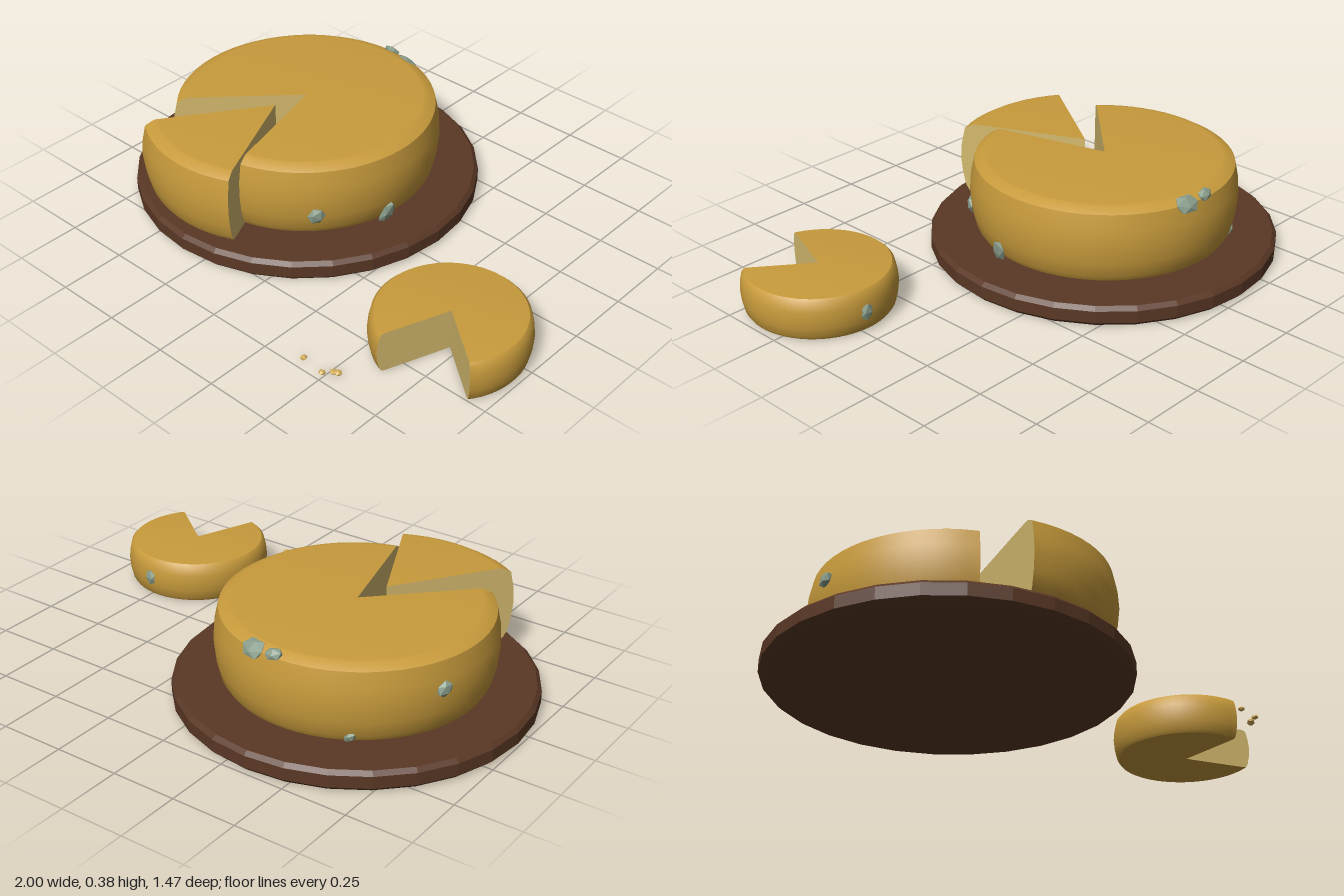
import * as THREE from 'three';
import { toCreasedNormals } from 'three/addons/utils/BufferGeometryUtils.js';

const mat = (name, color, extra = {}) => {
  const m = new THREE.MeshStandardMaterial({ color, ...extra });
  m.name = name;
  return m;
};
const rad = THREE.MathUtils.degToRad;

export function createModel() {
  const root = new THREE.Group();
  root.name = 'cheeseBoard';
  const rind = mat('rind', 0xc89b3c);
  const paste = mat('paste', 0xd4ba6e, { side: THREE.DoubleSide });
  const wood = mat('darkWood', 0x5a3825);
  const mould = mat('mould', 0x8a9e8c, { flatShading: true });
  const crumbMat = mat('crumb', 0xd4ae5c, { flatShading: true });

  const add = (parent, name, geometry, material) => {
    const mesh = new THREE.Mesh(geometry, material);
    mesh.name = name;
    parent.add(mesh);
    return mesh;
  };
  const points = (list) => list.map(([x, y]) => new THREE.Vector2(x, y));

  // Sector of a wheel: turned rind plus two flat cut faces (angles in degrees from +z towards +x)
  function cheeseSector(name, profile, from, sweep, x, z) {
    const group = new THREE.Group();
    group.name = name;
    group.position.set(x, 0, z);
    root.add(group);
    const pts = points(profile);
    const segments = Math.ceil(sweep / 6);
    const lathe = new THREE.LatheGeometry(pts, segments, rad(from), rad(sweep));
    add(group, name + 'Rind', toCreasedNormals(lathe, 0.6), rind);
    for (const angle of [from, from + sweep]) {
      const face = add(group, name + 'CutFace', new THREE.ShapeGeometry(new THREE.Shape(pts)), paste);
      face.rotation.y = rad(angle - 90);
    }
  }

  // Round faceted board with chamfered edges
  const boardProfile = points([[0, 0.004], [0.645, 0.004], [0.66, 0.019], [0.66, 0.065], [0.645, 0.08], [0, 0.08]]);
  const board = add(root, 'board', toCreasedNormals(new THREE.LatheGeometry(boardProfile, 28), 0.1), wood);
  board.position.set(-0.34, 0, -0.08);

  // Large wheel and the slice pulled out of it
  const large = [[0, 0.083], [0.44, 0.083], [0.472, 0.086], [0.487, 0.11], [0.5, 0.165], [0.507, 0.23],
    [0.503, 0.29], [0.489, 0.355], [0.455, 0.375], [0.44, 0.376], [0, 0.376]];
  cheeseSector('largeWheel', large, 15, 300, -0.34, -0.08);
  cheeseSector('slice', large, -35, 60, -0.376, 0.05);

  // Small wheel with a wedge missing
  const small = [[0, 0.006], [0.25, 0.006], [0.262, 0.008], [0.27, 0.02], [0.278, 0.055], [0.281, 0.088],
    [0.278, 0.12], [0.27, 0.155], [0.26, 0.165], [0.25, 0.166], [0, 0.166]];
  cheeseSector('smallWheel', small, 52, 287.5, 0.718, 0.335);

  // Mould patches: flattened faceted blobs facing away from the wheel axis
  // [x, y, z, half width, half height, upward tilt in degrees, wheel centre x, z]
  const patches = [
    [-0.24, 0.352, -0.55, 0.05, 0.038, 45, -0.34, -0.08],
    [-0.33, 0.363, -0.56, 0.033, 0.024, 45, -0.34, -0.08],
    [-0.815, 0.26, -0.27, 0.032, 0.028, 5, -0.34, -0.08],
    [-0.59, 0.105, -0.49, 0.024, 0.02, -15, -0.34, -0.08],
    [0.03, 0.175, 0.26, 0.034, 0.032, -5, -0.34, -0.08],
    [0.143, 0.108, 0.005, 0.05, 0.032, -15, -0.34, -0.08],
    [0.74, 0.085, 0.06, 0.032, 0.028, 0, 0.718, 0.335],
  ];
  patches.forEach(([x, y, z, w, h, tilt, cx, cz], i) => {
    const patch = add(root, 'mouldPatch', new THREE.IcosahedronGeometry(1, 0), mould);
    patch.position.set(x, y, z);
    patch.rotation.set(-rad(tilt), Math.atan2(x - cx, z - cz), i * 0.25, 'YXZ');
    patch.scale.set(w * 1.1, h, 0.016);
  });

  // Crumbs
  for (const [x, z, r, turn] of [[0.393, 0.71, 0.013, 0.4], [0.489, 0.722, 0.013, 1.2], [0.515, 0.695, 0.014, 2], [0.53, 0.688, 0.015, 2.7]]) {
    const crumb = add(root, 'crumb', new THREE.IcosahedronGeometry(r, 0), crumbMat);
    crumb.position.set(x, 0.013, z);
    crumb.rotation.y = turn;
    crumb.scale.y = 0.7;
  }
  return root;
}
